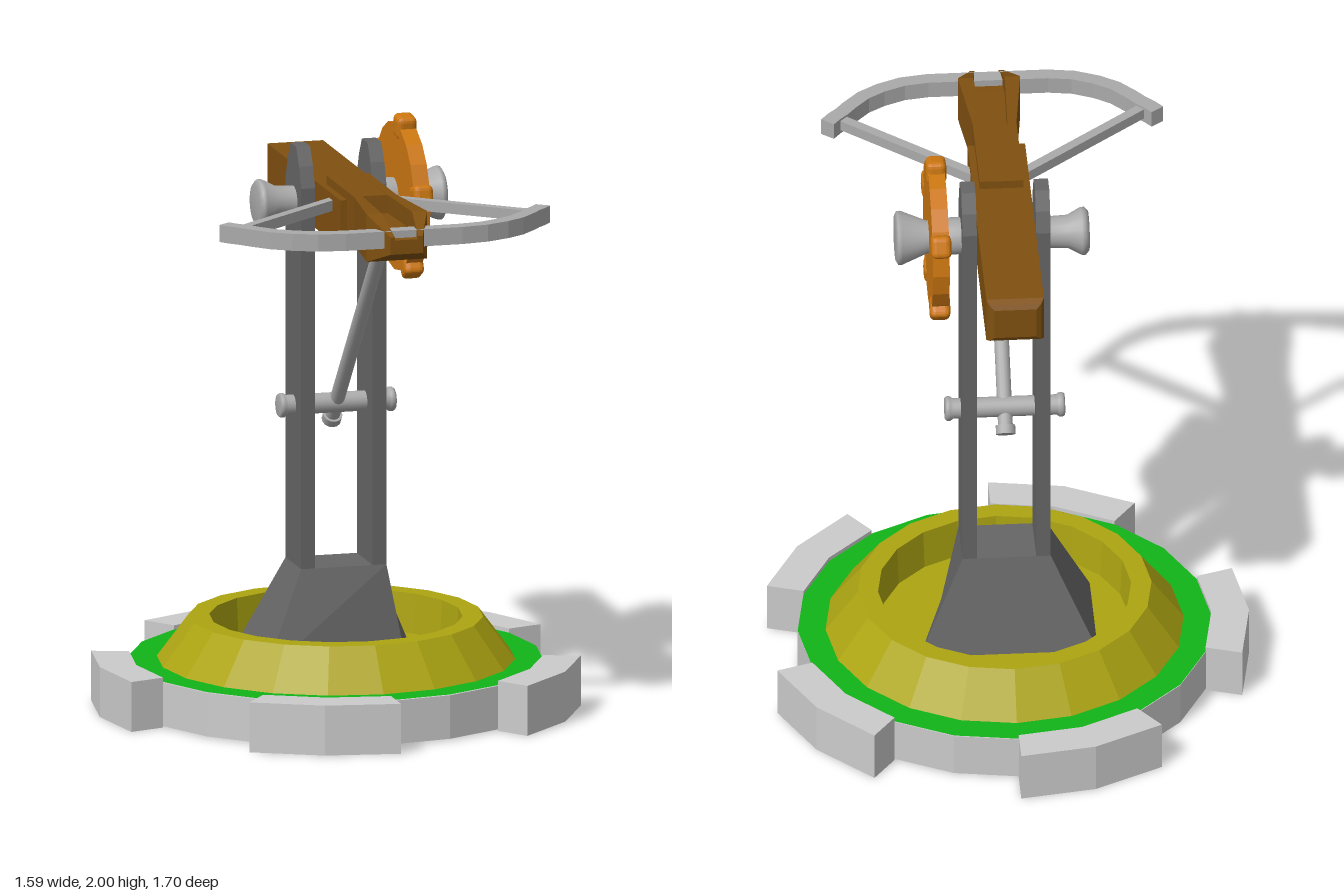
import * as THREE from 'three';
import { RoundedBoxGeometry } from 'three/addons/geometries/RoundedBoxGeometry.js';

const CX = 0.012, CZ = -0.035, AXLE_Y = 1.718;
const mat = (color, flatShading = true) => new THREE.MeshStandardMaterial({ color, flatShading });
const GREY = mat(0xcccccc), STEEL = mat(0xaaaaaa), ROUND = mat(0xaaaaaa, false), DARK = mat(0x666666);
const BROWN = mat(0x805010), ORANGE = mat(0xcc7711), YELLOW = mat(0xada512), GREEN = mat(0x12b418);
const V2 = (x, y) => new THREE.Vector2(x, y);

// Joins counter-clockwise rings of [x, y] points at rising z, with capped ends
function loft(sections) {
  const pos = [];
  const n = sections[0].pts.length;
  const put = (s, i) => pos.push(s.pts[i % n][0], s.pts[i % n][1], s.z);
  for (let k = 0; k < sections.length - 1; k++) {
    const a = sections[k], b = sections[k + 1];
    for (let i = 0; i < n; i++) {
      put(a, i); put(a, i + 1); put(b, i + 1);
      put(a, i); put(b, i + 1); put(b, i);
    }
  }
  for (const [s, front] of [[sections[0], false], [sections[sections.length - 1], true]]) {
    const tris = THREE.ShapeUtils.triangulateShape(s.pts.map(p => V2(p[0], p[1])), []);
    for (const t of tris) (front ? t : [...t].reverse()).forEach(i => put(s, i));
  }
  const g = new THREE.BufferGeometry();
  g.setAttribute('position', new THREE.Float32BufferAttribute(pos, 3));
  g.computeVertexNormals();
  return g;
}
const rect = (x0, x1, y0, y1) => [[x0, y0], [x1, y0], [x1, y1], [x0, y1]];

// Flat outline in x and -z, raised along y
function slab(points, height) {
  const g = new THREE.ExtrudeGeometry(new THREE.Shape(points), { depth: height, bevelEnabled: false });
  return g.rotateX(-Math.PI / 2);
}

// Turned part along x from [x, radius] pairs
function turned(profile) {
  return new THREE.LatheGeometry(profile.map(([x, r]) => V2(r, x)), 20).rotateZ(-Math.PI / 2);
}

export function createModel() {
  const root = new THREE.Group();
  const add = (name, geo, material, x = CX, y = 0, z = CZ) => {
    const m = new THREE.Mesh(geo, material);
    m.name = name;
    m.position.set(x, y, z);
    root.add(m);
    return m;
  };

  // Round base with five teeth and a green top
  add('baseDisc', new THREE.CylinderGeometry(0.69, 0.69, 0.148, 20), GREY, CX, 0.079);
  add('baseTop', new THREE.CircleGeometry(0.69, 20).rotateX(-Math.PI / 2), GREEN, CX, 0.156);
  for (let k = 0; k < 5; k++) {
    const arc = (r, i) => {
      const a = THREE.MathUtils.degToRad(18 + 72 * k + 18 * i);
      return V2(r * Math.cos(a), r * Math.sin(a));
    };
    const pts = [arc(0.815, 0), arc(0.815, 1), arc(0.815, 2), arc(0.689, 2), arc(0.689, 1), arc(0.689, 0)];
    add('baseTooth', slab(pts, 0.17), GREY);
  }

  // Sloped ring with a sunken floor
  const ring = [[0.597, 0.156], [0.49, 0.3], [0.422, 0.3], [0.415, 0.165], [0, 0.165]];
  add('raisedRing', new THREE.LatheGeometry(ring.map(p => V2(...p)), 20), YELLOW);

  // Tower foot, its front left corner drawn in
  const foot = loft([
    { z: 0.16, pts: [[-0.3, -0.205], [0.2, -0.155], [0.3, 0.2], [-0.3, 0.2]] },
    { z: 0.485, pts: rect(-0.147, 0.147, -0.098, 0.098) },
  ]).rotateX(-Math.PI / 2);
  add('towerFoot', foot, DARK);

  // Twin posts with rounded tops
  const post = new THREE.Shape([V2(-0.098, 0.48), V2(0.098, 0.48), V2(0.098, 1.78), V2(0.072, 1.85),
    V2(0.035, 1.91), V2(-0.035, 1.91), V2(-0.072, 1.85), V2(-0.098, 1.78)]);
  for (const s of [-1, 1]) {
    const g = new THREE.ExtrudeGeometry(post, { depth: 0.048, bevelEnabled: false });
    g.translate(0, 0, -0.024).rotateY(Math.PI / 2);
    add('post', g, DARK, CX + s * 0.123);
  }

  // Cross pin with flared ends
  add('crossPin', turned([[-0.2, 0], [-0.2, 0.036], [-0.193, 0.041], [-0.182, 0.041], [-0.172, 0.034],
    [0.172, 0.034], [0.182, 0.041], [0.193, 0.041], [0.2, 0.036], [0.2, 0]]), ROUND, CX, 1.025);

  // Axle with flared knobs
  add('axle', turned([[-0.28, 0], [-0.28, 0.066], [-0.268, 0.08], [-0.255, 0.08], [-0.21, 0.056], [-0.147, 0.053],
    [0.147, 0.062], [0.19, 0.062], [0.26, 0.055], [0.345, 0.09], [0.358, 0.09], [0.366, 0.076], [0.366, 0]]),
    ROUND, CX, AXLE_Y);

  // Slanted brace under the stock
  const from = new THREE.Vector3(CX, 0.965, -0.085), to = new THREE.Vector3(CX, 1.7, 0.555);
  const dir = to.clone().sub(from), up = new THREE.Vector3(0, 1, 0);
  const rod = add('brace', new THREE.CylinderGeometry(0.025, 0.025, dir.length(), 14), ROUND);
  rod.position.copy(from).addScaledVector(dir, 0.5);
  const cap = add('braceEnd', new THREE.CylinderGeometry(0.033, 0.033, 0.03, 14), ROUND, from.x, from.y, from.z);
  for (const m of [rod, cap]) m.quaternion.setFromUnitVectors(up, dir.clone().normalize());

  // Hand wheel with five grips
  const wheelX = 0.239;
  add('wheel', new THREE.CylinderGeometry(0.25, 0.25, 0.056, 20).rotateZ(Math.PI / 2), ORANGE, wheelX, AXLE_Y, -0.027);
  for (let k = 0; k < 5; k++) {
    const a = THREE.MathUtils.degToRad(97 + 72 * k);
    const grip = add('wheelGrip', new RoundedBoxGeometry(0.068, 0.08, 0.076, 2, 0.018), ORANGE,
      wheelX, AXLE_Y + 0.243 * Math.sin(a), -0.027 - 0.243 * Math.cos(a));
    grip.rotation.x = a - Math.PI / 2;
  }

  // Rear stock with a bevelled butt
  const butt = (z, d) => ({ z, pts: rect(-0.096 + d, 0.096 - d, 1.642 + d, 1.803 - d) });
  add('rearStock', loft([butt(-0.577, 0.026), butt(-0.568, 0.01), butt(-0.547, 0), butt(0.37, 0)]), BROWN, CX, 0, 0);

  // Front stock: narrows, swells and tapers, with a groove in its top
  const fore = (z, w, b, t, g, f) => ({
    z, pts: [[-w, b], [w, b], [w, t], [g, t], [g, f], [-g, f], [-g, t], [-w, t]],
  });
  add('frontStock', loft([
    fore(0.11, 0.073, 1.67, 1.832, 0.043, 1.831),
    fore(0.45, 0.073, 1.67, 1.832, 0.043, 1.831),
    fore(0.455, 0.073, 1.67, 1.832, 0.043, 1.77),
    fore(0.728, 0.104, 1.67, 1.832, 0.052, 1.77),
    fore(0.85, 0.056, 1.717, 1.776, 0.04, 1.765),
  ]), BROWN, CX, 0, 0);

  // Bow: a thick strip along a mirrored curve
  const half = [[0.55, 0.56], [0.525, 0.592], [0.497, 0.62], [0.47, 0.655], [0.42, 0.71], [0.36, 0.75], [0.285, 0.782], [0.2, 0.795]];
  const path = [...half, ...half.map(([x, z]) => [-x, z]).reverse()].map(([x, z]) => V2(x, -z));
  const side = d => path.map((p, i) => {
    const t = path[Math.min(i + 1, path.length - 1)].clone().sub(path[Math.max(i - 1, 0)]).normalize();
    return V2(p.x - t.y * d, p.y + t.x * d);
  });
  add('bow', slab([...side(0.026), ...side(-0.026).reverse()], 0.058), STEEL, CX, 1.733, 0);

  // Taut string in two straight halves
  for (const s of [-1, 1]) {
    const a = V2(s * 0.505, 0.595), b = V2(0, 0.17), d = b.clone().sub(a);
    const bar = add('bowString', new THREE.BoxGeometry(0.034, 0.036, d.length()), STEEL,
      CX + (a.x + b.x) / 2, 1.765, (a.y + b.y) / 2);
    bar.rotation.y = Math.atan2(d.x, d.y);
  }
  return root;
}
